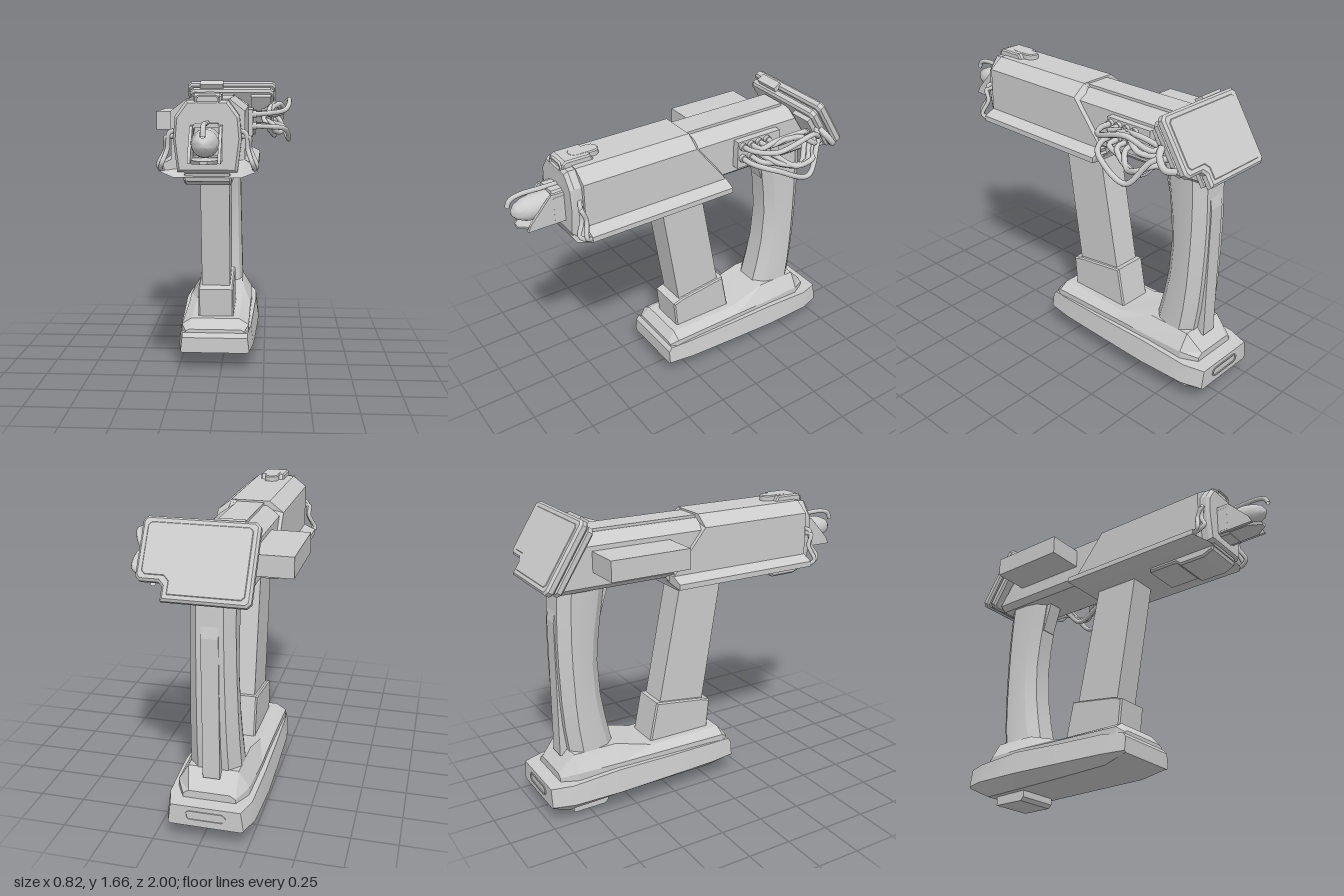
import * as THREE from 'three';
import { toCreasedNormals } from 'three/addons/utils/BufferGeometryUtils.js';

const grey = new THREE.MeshStandardMaterial({ color: 0xcccccc, side: THREE.DoubleSide });

function add(parent, name, geo, x = 0, y = 0, z = 0) {
  const m = new THREE.Mesh(geo, grey);
  m.name = name;
  m.position.set(x, y, z);
  parent.add(m);
  return m;
}

// Closed solid through rings of [x, y, z] points, with both ends capped
function loft(rings, crease = 0.3) {
  const pos = [], n = rings[0].length;
  const tri = (a, b, c) => pos.push(...a, ...b, ...c);
  for (let i = 0; i < rings.length - 1; i++) {
    for (let j = 0; j < n; j++) {
      const k = (j + 1) % n, a = rings[i], b = rings[i + 1];
      tri(a[j], a[k], b[k]);
      tri(a[j], b[k], b[j]);
    }
  }
  const first = rings[0], last = rings[rings.length - 1];
  for (let j = 1; j < n - 1; j++) {
    tri(first[0], first[j + 1], first[j]);
    tri(last[0], last[j], last[j + 1]);
  }
  // Turn the faces outward if the signed volume is negative
  const v = (i) => new THREE.Vector3().fromArray(pos, i);
  let volume = 0;
  for (let i = 0; i < pos.length; i += 9) volume += v(i).dot(v(i + 3).cross(v(i + 6)));
  if (volume < 0) {
    for (let i = 0; i < pos.length; i += 9) {
      for (let c = 3; c < 6; c++) [pos[i + c], pos[i + c + 3]] = [pos[i + c + 3], pos[i + c]];
    }
  }
  const g = new THREE.BufferGeometry();
  g.setAttribute('position', new THREE.Float32BufferAttribute(pos, 3));
  g.computeVertexNormals();
  return toCreasedNormals(g, crease);
}

// Ring mirrored in x from half a section
const mirror = (half) => [...half, ...half.map(([x, y, z]) => [-x, y, z]).reverse()];

// Side profile of [z, y] points extruded across x
function prism(profile, width, bevel = 0) {
  const g = new THREE.ExtrudeGeometry(new THREE.Shape(profile.map((p) => new THREE.Vector2(...p))),
    { depth: width - 2 * bevel, bevelEnabled: bevel > 0, bevelSize: bevel, bevelThickness: bevel, bevelOffset: -bevel, bevelSegments: 1 });
  return g.translate(0, 0, bevel - width / 2).rotateY(-Math.PI / 2);
}

function cable(points, r = 0.015) {
  const curve = new THREE.CatmullRomCurve3(points.map((p) => new THREE.Vector3(...p)));
  return new THREE.TubeGeometry(curve, 32, r, 10);
}

function stadium(path, half, r) {
  path.absarc(half, 0, r, -Math.PI / 2, Math.PI / 2);
  path.absarc(-half, 0, r, Math.PI / 2, Math.PI * 1.5);
  path.closePath();
  return path;
}

function buildBody(g) {
  // Front sleeve with a slanted rear edge
  const sleeve = (z0, z1, z2) => mirror([[0.107, 1.585, z0], [0.185, 1.525, z1], [0.185, 1.28, z2], [0.185, 1.25, z2]]);
  add(g, 'frontSleeve', loft([sleeve(0.65, 0.65, 0.65), sleeve(-0.03, -0.03, -0.23)]));
  // Flared rails along the bottom
  const rail = (z, zb) => mirror([[0.185, 1.285, z], [0.25, 1.255, z], [0.25, 1.225, z], [0.17, 1.2, zb]]);
  add(g, 'bottomRails', loft([rail(0.65, 0.7), rail(-0.23, -0.2)]));
  // Rear receiver and its raised top strip
  const rear = (z, zt) => mirror([[0.09, 1.56, zt], [0.165, 1.51, zt], [0.165, 1.3, z], [0.13, 1.27, z]]);
  add(g, 'rearReceiver', loft([rear(0, 0), rear(-0.87, -0.72)]));
  add(g, 'topStrip', new THREE.BoxGeometry(0.15, 0.03, 0.68), 0, 1.56, -0.35);
  add(g, 'receiverKeel', prism([[0.1, 1.3], [0.1, 1.21], [-0.2, 1.21], [-0.25, 1.27], [-0.25, 1.3]], 0.28));
  // Under-barrel block
  add(g, 'underBlock', prism([[0.7, 1.22], [0.69, 1.18], [0.63, 1.155], [0.48, 1.155], [0.45, 1.18], [0.27, 1.18], [0.27, 1.22]], 0.24, 0.01));
  // Side box
  add(g, 'sideBox', new THREE.BoxGeometry(0.23, 0.11, 0.45), -0.26, 1.43, -0.465);
}

function buildMuzzle(g) {
  const face = (s, z) => mirror([[0.1, 1.575], [0.155, 1.5], [0.165, 1.39], [0.145, 1.23]]
    .map(([x, y]) => [x * s, 1.4 + (y - 1.4) * s, z]));
  add(g, 'muzzleBlock', loft([face(1.03, 0.6), face(1.03, 0.69), face(0.95, 0.71)]));
  // Framed opening
  const frame = new THREE.Shape([[-0.08, 1.3], [-0.055, 1.28], [0.055, 1.28], [0.08, 1.3], [0.08, 1.44], [0.055, 1.47], [-0.055, 1.47], [-0.08, 1.44]]
    .map((p) => new THREE.Vector2(...p)));
  frame.holes.push(new THREE.Path([[-0.06, 1.31], [-0.06, 1.45], [0.06, 1.45], [0.06, 1.31]].map((p) => new THREE.Vector2(...p))));
  add(g, 'muzzleFrame', new THREE.ExtrudeGeometry(frame, { depth: 0.07, bevelEnabled: false }), 0, 0, 0.7);
  // Cradle: floor and sloping cheeks
  add(g, 'cradleFloor', loft([
    mirror([[0.075, 1.305, 0.7], [0.06, 1.285, 0.7]]),
    mirror([[0.075, 1.305, 0.88], [0.06, 1.285, 0.88]]),
    mirror([[0.02, 1.305, 0.95], [0.015, 1.29, 0.95]])]));
  for (const s of [-1, 1]) {
    add(g, 'cradleCheek', prism([[0.7, 1.29], [0.92, 1.29], [0.9, 1.33], [0.78, 1.46], [0.7, 1.46]], 0.015), s * 0.072);
  }
  // Pointed emitter
  const tip = [[0, -0.3], [0.068, -0.3], [0.068, -0.12], [0.06, -0.07], [0.04, -0.025], [0.015, -0.003], [0, 0]];
  const emitter = new THREE.LatheGeometry(tip.map((p) => new THREE.Vector2(...p)), 28).rotateX(Math.PI / 2);
  add(g, 'emitter', toCreasedNormals(emitter, 0.6), 0, 1.38, 0.97);
  add(g, 'hookRod', cable([[0, 1.47, 0.68], [0, 1.472, 0.8], [0, 1.472, 0.92], [0, 1.455, 0.97], [0, 1.42, 0.987]], 0.013));
  // Front sight with a rounded boss
  add(g, 'sightBase', prism([[0.7, 1.56], [0.7, 1.6], [0.68, 1.615], [0.54, 1.615], [0.52, 1.58], [0.52, 1.56]], 0.14, 0.008));
  const boss = stadium(new THREE.Shape(), 0.045, 0.035);
  add(g, 'sightBoss', new THREE.ExtrudeGeometry(boss, { depth: 0.035, bevelSize: 0.006, bevelThickness: 0.006, bevelSegments: 1 })
    .rotateZ(Math.PI / 2).rotateX(-Math.PI / 2), 0, 1.575, 0.55);
  const ring = stadium(new THREE.Shape(), 0.035, 0.025);
  ring.holes.push(stadium(new THREE.Path(), 0.035, 0.017));
  add(g, 'sightRing', new THREE.ExtrudeGeometry(ring, { depth: 0.015, bevelEnabled: false }), 0, 1.58, 0.695);
  // Short cable pairs on each side
  for (const s of [-1, 1]) {
    for (const d of [0, 1]) {
      add(g, 'muzzleCable', cable([[s * 0.15, 1.43 - d * 0.03, 0.66], [s * (0.19 + d * 0.015), 1.42 - d * 0.02, 0.68],
        [s * (0.2 + d * 0.01), 1.34, 0.68 - d * 0.02], [s * (0.225 + d * 0.02), 1.27 - d * 0.01, 0.71 - d * 0.03],
        [s * 0.235, 1.24, 0.66], [s * 0.21, 1.245, 0.57]], 0.012));
    }
  }
}

function buildGrip(g) {
  // Curved grip: rows of height, front z, back z, half width
  const rows = [[0.34, -0.565, -0.83, 0.137], [0.5, -0.6, -0.85, 0.131], [0.65, -0.625, -0.86, 0.126], [0.85, -0.635, -0.865, 0.121],
    [1.0, -0.62, -0.865, 0.118], [1.13, -0.6, -0.86, 0.116], [1.29, -0.575, -0.85, 0.115]];
  add(g, 'grip', loft(rows.map(([y, f, b, w]) => mirror([[w * 0.45, y, f], [w * 0.85, y, f - 0.05], [w, y, f - 0.12], [w, y, b + 0.06], [w * 0.6, y, b]]))));
  add(g, 'gripBackStrip', prism([[-0.8, 0.33], [-0.875, 0.33], [-0.87, 1.1], [-0.85, 1.2], [-0.8, 1.2]], 0.09));
  add(g, 'trigger', prism([[-0.545, 1.28], [-0.6, 1.1], [-0.66, 1.1], [-0.66, 1.28]], 0.09));
  // Slanted front strut and its collar
  add(g, 'frontStrut', prism([[0.14, 1.22], [-0.125, 1.22], [-0.28, 0.45], [0.01, 0.45]], 0.165));
  add(g, 'strutCollar', prism([[0.06, 0.465], [0, 0.485], [-0.295, 0.525], [-0.345, 0.28], [0.04, 0.28]], 0.205, 0.008));
}

function buildBase(g) {
  // Rows: z, then half width and height of bottom, middle and top edges
  const slab = [[0.155, 0.19, 0.11, 0.2, 0.12, 0.19, 0.2], [0.135, 0.185, 0.108, 0.203, 0.12, 0.19, 0.225],
    [0, 0.17, 0.075, 0.222, 0.12, 0.207, 0.235], [-0.3, 0.16, 0.066, 0.235, 0.12, 0.217, 0.24], [-0.6, 0.155, 0.058, 0.245, 0.12, 0.227, 0.25],
    [-0.88, 0.155, 0.05, 0.236, 0.12, 0.22, 0.23], [-0.995, 0.19, 0.11, 0.2, 0.12, 0.185, 0.225]];
  add(g, 'baseSlab', loft(slab.map(([z, a, ya, b, yb, c, yc]) => mirror([[a, ya, z], [b, yb, z], [c, yc, z]]))));
  const tier = [[0.135, 0.17, 0.235, 0.15, 0.245], [0.09, 0.195, 0.265, 0.14, 0.3], [-0.36, 0.195, 0.27, 0.14, 0.3],
    [-0.58, 0.2, 0.275, 0.135, 0.365], [-0.83, 0.19, 0.275, 0.135, 0.365], [-0.92, 0.14, 0.25, 0.11, 0.27]];
  add(g, 'baseUpperTier', loft(tier.map(([z, a, ya, b, yb]) => mirror([[a, 0.2, z], [a, ya, z], [b, yb, z]]))));
  add(g, 'foot', prism([[-0.63, 0.08], [-0.63, 0.02], [-0.65, 0], [-0.84, 0], [-0.84, 0.08]], 0.24));
  // Slot at the rear
  const slot = stadium(new THREE.Shape(), 0.08, 0.028);
  slot.holes.push(stadium(new THREE.Path(), 0.08, 0.02));
  add(g, 'rearSlot', new THREE.ExtrudeGeometry(slot, { depth: 0.02, bevelEnabled: false }), 0, 0.172, -1);
}

function buildScreen(g) {
  const screen = new THREE.Group();
  screen.name = 'screen';
  screen.position.set(0.0575, 1.465, -0.83);
  screen.rotation.x = 0.571;
  g.add(screen);
  // Notched outline with clipped corners
  const outline = (i) => {
    const w = 0.2875 - i, h = 0.205 - i, c = 0.022;
    return new THREE.Shape([[-w + c, -h], [0.15 - i, -h], [0.15 - i, -h + 0.07], [0.17 - i, -h + 0.09], [w - c, -h + 0.09], [w, -h + 0.09 + c],
      [w, h - c], [w - c, h], [-w + c, h], [-w, h - c], [-w, -h + c]].map((p) => new THREE.Vector2(...p)));
  };
  const plate = (i, d) => new THREE.ExtrudeGeometry(outline(i), { depth: d, bevelSize: 0.012, bevelThickness: 0.012, bevelOffset: -0.012, bevelSegments: 1 });
  add(screen, 'screenBack', plate(0, 0.026), 0, 0, -0.038);
  add(screen, 'screenFront', plate(0.015, 0.025), 0, 0, 0.012);
  add(screen, 'screenGlass', plate(0.022, 0.002), 0, 0, -0.041);
  add(screen, 'topTab', new THREE.BoxGeometry(0.15, 0.03, 0.05), -0.13, 0.205, 0);
  add(screen, 'screenMount', new THREE.BoxGeometry(0.26, 0.26, 0.06), -0.06, -0.02, 0.06);
  add(screen, 'cableSocket', new THREE.BoxGeometry(0.13, 0.2, 0.03), 0.19, 0.06, 0.06);
}

function buildCables(g) {
  add(g, 'portBlock', new THREE.BoxGeometry(0.08, 0.16, 0.29), 0.165, 1.415, -0.435);
  for (let i = 0; i < 8; i++) {
    const col = i % 4, row = Math.floor(i / 4), side = row ? -1 : 1;
    const y = 1.43 + side * 0.035, z = -0.32 - col * 0.055, bulge = 0.425 - ((i * 3) % 4) * 0.03;
    const collar = new THREE.CylinderGeometry(0.022, 0.022, 0.03, 14).rotateZ(Math.PI / 2);
    add(g, 'port', collar, 0.21, y, z);
    const endY = 1.54 - row * 0.1 - col * 0.025, endZ = -0.835 + (endY - 1.465) * 0.64 + 0.05;
    add(g, 'cable', cable([[0.2, y, z], [0.29, y + side * 0.005, z - 0.01], [bulge - 0.03, y + side * (0.02 + col * 0.012), z - 0.09],
      [bulge, 1.42 + side * (0.05 + (3 - col) * 0.025), -0.62 - col * 0.015],
      [bulge - 0.07, (endY + 1.42) / 2, -0.73], [0.24 + (i % 3) * 0.03, endY, endZ - 0.03]]));
  }
  // Loop at the screen edge
  add(g, 'screenLoop', cable([[0.33, 1.5, -0.76], [0.37, 1.47, -0.78], [0.38, 1.42, -0.82], [0.33, 1.4, -0.85]], 0.018));
}

export function createModel() {
  const model = new THREE.Group();
  model.name = 'device';
  const core = new THREE.Group();
  core.name = 'core';
  core.position.x = -0.035;
  model.add(core);
  for (const build of [buildBody, buildMuzzle, buildGrip, buildBase, buildScreen, buildCables]) build(core);
  return model;
}
